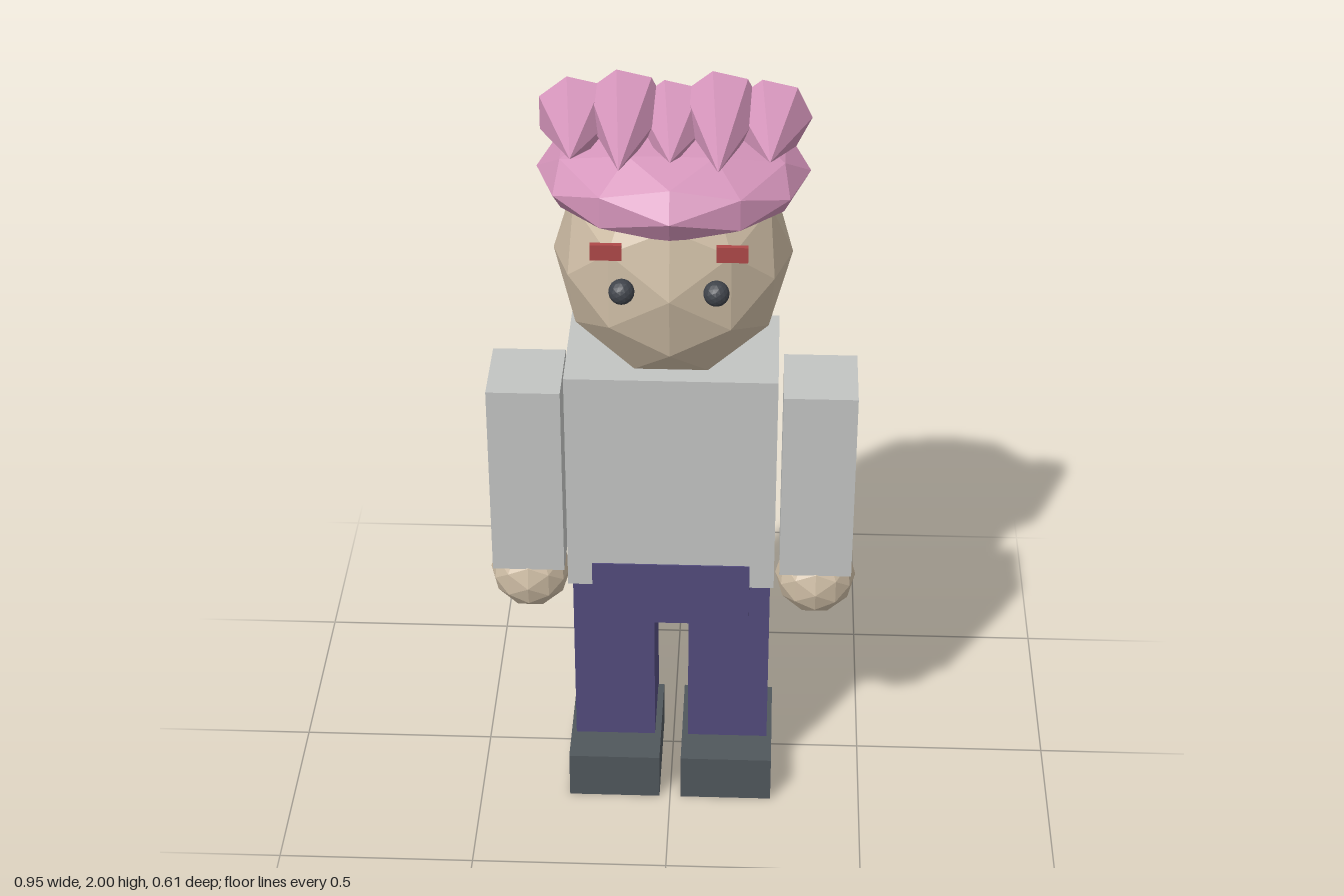
import * as THREE from 'three';

const mat = (name, color, flatShading = true) => {
  const m = new THREE.MeshStandardMaterial({ color, flatShading });
  m.name = name;
  return m;
};

export function createModel() {
  const model = new THREE.Group();
  model.name = 'blockFigure';
  const shirt = mat('shirtGrey', 0xc2c4c2);
  const denim = mat('trouserPurple', 0x524b7c);
  const leather = mat('shoeGrey', 0x50575c);
  const skin = mat('skin', 0xcdbca4);
  const pink = mat('hairPink', 0xd494ba);
  const red = mat('browRed', 0xae4848);
  const black = mat('eyeDark', 0x40444b);

  const add = (name, geometry, material, x, y, z) => {
    const mesh = new THREE.Mesh(geometry, material);
    mesh.name = name;
    mesh.position.set(x, y, z);
    model.add(mesh);
  };
  // Box given by its limits on each axis
  const box = (name, material, [x0, x1], [y0, y1], [z0, z1]) =>
    add(name, new THREE.BoxGeometry(x1 - x0, y1 - y0, z1 - z0), material,
      (x0 + x1) / 2, (y0 + y1) / 2, (z0 + z1) / 2);
  // Faceted ball stretched to three radii
  const ball = (name, material, [x, y, z], [rx, ry, rz], detail = 1) =>
    add(name, new THREE.IcosahedronGeometry(1, detail).scale(rx, ry, rz), material, x, y, z);

  // Body
  box('torso', shirt, [-0.262, 0.262], [0.65, 1.265], [-0.155, 0.168]);
  box('pelvis', denim, [-0.2, 0.2], [0.535, 0.717], [-0.158, 0.172]);

  // Head and hair cap
  ball('head', skin, [0, 1.542, 0.005], [0.29, 0.325, 0.26]);
  ball('hairCap', pink, [0, 1.75, -0.018], [0.328, 0.128, 0.288]);

  // Limbs and face, mirrored
  for (const s of [1, -1]) {
    const side = s > 0 ? 'left' : 'right';
    const span = (a, b) => (s > 0 ? [a, b] : [-b, -a]);
    box(side + 'Arm', shirt, span(0.276, 0.46), [0.65, 1.185], [-0.1, 0.11]);
    ball(side + 'Hand', skin, [s * 0.37, 0.597, 0.023], [0.104, 0.104, 0.104]);
    box(side + 'Leg', denim, span(0.044, 0.253), [0.09, 0.63], [-0.11, 0.125]);
    box(side + 'Shoe', leather, span(0.028, 0.266), [0, 0.13], [-0.085, 0.227]);
    ball(side + 'Eye', black, [s * 0.111, 1.572, 0.268], [0.031, 0.031, 0.031], 2);
    box(side + 'Brow', red, span(0.11, 0.184), [1.655, 1.695], [0.256, 0.269]);
  }

  // Seven-sided hair spikes pointing forward: x, centre height, length
  const spikes = [
    [-0.23, 1.885, 0.235], [-0.113, 1.905, 0.327], [0, 1.88, 0.235],
    [0.113, 1.905, 0.327], [0.23, 1.885, 0.235],
  ];
  for (const [x, y, length] of spikes) {
    const cone = new THREE.ConeGeometry(0.098, length, 7, 1, false, Math.PI / 2);
    cone.rotateX(Math.PI / 2);
    add('hairSpike', cone, pink, x, y, -0.028 + length / 2);
  }
  return model;
}
